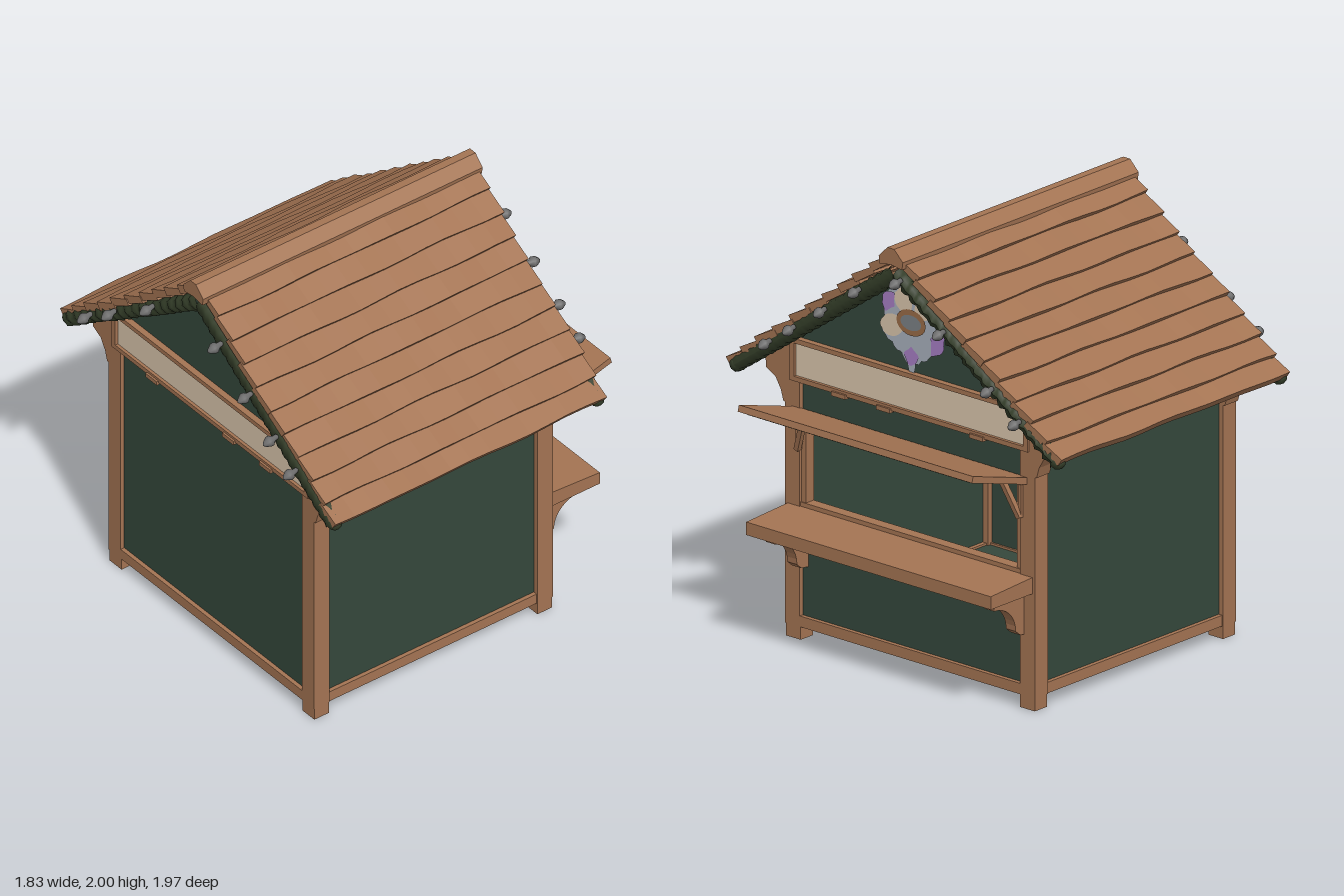
import * as THREE from 'three';

const paint = (name, color, side = THREE.FrontSide) => {
  const m = new THREE.MeshStandardMaterial({ color, side });
  m.name = name;
  return m;
};

export function createModel() {
  const root = new THREE.Group();
  root.name = 'marketStall';
  const wood = paint('wood', 0xa47453);
  const green = paint('greenPaint', 0x35483c);
  const leaf = paint('garlandGreen', 0x333d28);
  const bulbGrey = paint('bulbGrey', 0x6c6c6c);
  const cream = paint('cream', 0xdcc8ae, THREE.DoubleSide);
  const petalGrey = paint('petalGrey', 0xaab2be, THREE.DoubleSide);
  const purple = paint('purple', 0xa880c6, THREE.DoubleSide);
  const bark = paint('flowerBrown', 0x9a6c48, THREE.DoubleSide);
  const darkGrey = paint('flowerGrey', 0x7c8286, THREE.DoubleSide);

  const add = (name, geo, mat, parent = root) => {
    const m = new THREE.Mesh(geo, mat);
    m.name = name;
    parent.add(m);
    return m;
  };
  // Box given by its limits
  const box = (name, mat, x0, x1, y0, y1, z0, z1, parent) =>
    add(name, new THREE.BoxGeometry(x1 - x0, y1 - y0, z1 - z0)
      .translate((x0 + x1) / 2, (y0 + y1) / 2, (z0 + z1) / 2), mat, parent);
  // Prism along x from [z, y] points
  const prismGeo = (pts, x0, x1, steps = 1) =>
    new THREE.ExtrudeGeometry(new THREE.Shape(pts.map(p => new THREE.Vector2(...p))),
      { depth: x1 - x0, steps, bevelEnabled: false }).rotateY(-Math.PI / 2).translate(x1, 0, 0);
  const prism = (name, mat, pts, x0, x1) => add(name, prismGeo(pts, x0, x1), mat);
  // Extrusion along z from [x, y] points
  const profile = (name, mat, pts, z0, z1) =>
    add(name, new THREE.ExtrudeGeometry(new THREE.Shape(pts.map(p => new THREE.Vector2(...p))),
      { depth: z1 - z0, bevelEnabled: false }).translate(0, 0, z0), mat);

  // Base, posts, feet and lower beams
  box('floorUnderside', wood, -0.74, 0.53, 0.065, 0.09, -0.7, 0.7);
  box('floor', green, -0.72, 0.51, 0.09, 0.1, -0.69, 0.69);
  for (const s of [-1, 1]) {
    const z = (a, b) => s > 0 ? [a, b] : [-b, -a];
    for (const [x0, x1] of [[-0.76, -0.675], [0.465, 0.55]]) {
      box('post', wood, x0, x1, 0.06, 1.2, ...z(0.64, 0.725));
      box('foot', wood, x0 + 0.003, x1 - 0.003, 0, 0.06, ...z(0.637, 0.722));
      prism('eaveBracket', wood, [[0.69, 1.07], [0.735, 1.08], [0.75, 1.13], [0.78, 1.18],
        [0.835, 1.21], [0.84, 1.28], [0.69, 1.36]].map(p => [p[0] * s, p[1]]), x0, x1);
    }
    box('sideBeam', wood, -0.76, 0.55, 0.06, 0.11, ...z(0.65, 0.72));
    box('sideWall', green, -0.74, 0.53, 0.08, 1.37, ...z(0.67, 0.7));

    // Scalloped board under the eave
    const pts = [[-0.675, 1.36]];
    const cusps = [-0.675, -0.43, 0.05, 0.465];
    for (let i = 0; i < 3; i++) for (let k = 0; k <= 10; k++)
      pts.push([cusps[i] + (cusps[i + 1] - cusps[i]) * k / 10, 1.205 + 0.075 * Math.sin(Math.PI * k / 10) ** 0.6]);
    pts.push([0.465, 1.36]);
    profile('eaveValance', wood, pts, ...z(0.7, 0.735));
  }

  // End walls, with the serving opening on +x
  for (const [x0, x1, o] of [[0.49, 0.53, 1], [-0.74, -0.7, -1]]) {
    const face = o > 0 ? x1 : x0;
    const out = (a, b) => o > 0 ? [face + a, face + b] : [face - b, face - a];
    prism('gable', green, [[-0.72, 1.17], [0.72, 1.17], [0.72, 1.37], [0, 1.89], [-0.72, 1.37]], x0, x1);
    box('endBeam', wood, ...out(-0.05, 0.02), 0.06, 0.11, -0.7, 0.7);
    // Sign with frame
    box('signPanel', cream, ...out(0, 0.015), 1.21, 1.365, -0.665, 0.665);
    for (const y of [1.19, 1.365]) box('signRail', wood, ...out(0, 0.03), y, y + 0.022, -0.69, 0.69);
    for (const z of [-0.69, 0.665]) box('signStile', wood, ...out(0, 0.03), 1.19, 1.385, z, z + 0.025);
    for (const z of [-0.44, 0.1, 0.36]) box('signBlock', wood, ...out(0, 0.04), 1.18, 1.2, z, z + 0.08);
  }
  box('backWall', green, -0.74, -0.7, 0.08, 1.18, -0.68, 0.68);
  box('frontWall', green, 0.49, 0.53, 0.08, 0.58, -0.68, 0.68);
  box('windowHeader', green, 0.49, 0.53, 1.05, 1.18, -0.68, 0.68);
  box('ceiling', green, -0.71, 0.5, 1.19, 1.21, -0.68, 0.68);
  box('windowTopRail', wood, 0.49, 0.545, 1.035, 1.06, -0.65, 0.65);
  box('windowSill', wood, 0.49, 0.545, 0.6, 0.635, -0.65, 0.65);
  for (const s of [-1, 1]) box('windowJamb', wood, 0.49, 0.54, 0.6, 1.06, s * 0.63 - 0.018, s * 0.63 + 0.018);
  for (const y of [0.63, 0.78, 0.92]) box('shelf', wood, -0.7, -0.5, y - 0.008, y + 0.014, -0.67, 0.67);

  // Counter and curved brackets
  profile('counter', wood, [[0.49, 0.54], [0.82, 0.54], [0.82, 0.6], [0.55, 0.615], [0.49, 0.615]], -0.71, 0.71);
  for (const s of [-1, 1]) {
    const arc = [[0.53, 0.54], [0.53, 0.34], [0.575, 0.345]];
    for (let k = 0; k <= 8; k++) {
      const a = k / 8 * Math.PI / 2;
      arc.push([0.745 - 0.14 * Math.cos(a), 0.37 + 0.13 * Math.sin(a)]);
    }
    arc.push([0.75, 0.54]);
    profile('counterBracket', wood, arc, s * 0.635 - 0.028, s * 0.635 + 0.028);
  }

  // Raised hatch with green underside, and its struts
  const hatch = new THREE.Group();
  hatch.name = 'hatch';
  hatch.position.set(0.54, 1.05, 0);
  hatch.rotation.z = 0.28;
  root.add(hatch);
  box('hatchBoard', wood, 0, 0.38, -0.015, 0.015, -0.68, 0.68, hatch);
  box('hatchPanel', green, 0.025, 0.352, -0.021, -0.014, -0.645, 0.645, hatch);
  const rod = (name, a, b, r) => {
    const A = new THREE.Vector3(...a), B = new THREE.Vector3(...b);
    const m = add(name, new THREE.BoxGeometry(r, A.distanceTo(B), r), wood);
    m.position.copy(A).lerp(B, 0.5);
    m.quaternion.setFromUnitVectors(new THREE.Vector3(0, 1, 0), B.sub(A).normalize());
  };
  for (const s of [-1, 1]) {
    rod('hatchStrut', [0.56, 0.88, s * 0.645], [0.6, 1.06, s * 0.57], 0.024);
    rod('hatchStrutFoot', [0.55, 0.88, s * 0.645], [0.55, 1.03, s * 0.645], 0.02);
  }

  // Roof: ten overlapping planks on each slope
  for (const s of [-1, 1]) for (let i = 0; i < 10; i++) {
    const at = (t, d) => [s * (0.03 + 0.94 * t + d * 0.6), 1.95 - 0.71 * t + d * 0.8];
    const t0 = i / 10, t1 = Math.min(1, t0 + 0.112);
    const jitter = 0.006 * Math.sin(i * 7.3 + s);
    const geo = prismGeo([at(t0, -0.035), at(t1, -0.022), at(t1, 0.018), at(t0, -0.004)],
      -0.835 + jitter, 0.655 + jitter, 14);
    const p = geo.attributes.position;
    for (let k = 0; k < p.count; k++) {
      const x = p.getX(k);
      p.setZ(k, p.getZ(k) + s * 0.004 * Math.sin(x * 9 + i * 2.1));
      p.setY(k, p.getY(k) + 0.003 * Math.sin(x * 13 + i * 3.7));
    }
    geo.computeVertexNormals();
    add('roofPlank', geo, wood);
  }
  prism('ridgeCap', wood, [[0, 1.92], [0.065, 1.91], [0.07, 1.945], [0.02, 1.995], [-0.02, 1.995],
    [-0.07, 1.945], [-0.065, 1.91]], -0.86, 0.675);

  // Garlands along the gable edges, with bulbs
  const bulbGeo = new THREE.LatheGeometry([[0, -0.045], [0.012, -0.035], [0.013, -0.018], [0.025, -0.002],
    [0.024, 0.012], [0.012, 0.032], [0, 0.042]].map(p => new THREE.Vector2(...p)), 10).rotateZ(-Math.PI / 2);
  for (const [x, o, zs] of [[0.63, 1, [-0.74, -0.58, -0.3, -0.05, 0.19, 0.39, 0.57, 0.71]],
    [-0.81, -1, [-0.74, -0.57, -0.3, 0.18, 0.39, 0.57, 0.71]]]) {
    for (const s of [-1, 1]) {
      const line = new THREE.LineCurve3(new THREE.Vector3(x, 1.87, 0), new THREE.Vector3(x, 1.225, s * 0.93));
      const geo = new THREE.TubeGeometry(line, 60, 0.036, 8);
      const p = geo.attributes.position, n = geo.attributes.normal;
      for (let k = 0; k < p.count; k++) {
        const d = 0.006 * Math.sin(p.getZ(k) * 61 + p.getY(k) * 90) + 0.003 * Math.sin(p.getY(k) * 210);
        p.setXYZ(k, p.getX(k) + n.getX(k) * d, p.getY(k) + n.getY(k) * d, p.getZ(k) + n.getZ(k) * d);
      }
      geo.computeVertexNormals();
      add('garland', geo, leaf);
      add('garlandEnd', new THREE.IcosahedronGeometry(0.036, 1), leaf).position.set(x, 1.225, s * 0.93);
    }
    for (const z of zs) {
      const b = add('bulb', bulbGeo, bulbGrey);
      b.position.set(x + o * 0.07, 1.885 - 0.7 * Math.abs(z), z);
      b.rotation.set(0, o > 0 ? 0 : Math.PI, -0.2);
    }
  }

  // Painted flower on the serving gable
  const flower = new THREE.Group();
  flower.name = 'flower';
  flower.position.set(0.533, 1.615, 0);
  flower.rotation.y = Math.PI / 2;
  root.add(flower);
  const petal = (mat, deg, len, w, layer, from = 0.03) => {
    const sh = new THREE.Shape();
    sh.moveTo(from, 0);
    sh.bezierCurveTo(from + len * 0.2, w * 0.5, len * 0.65, w * 0.85, len * 0.93, w * 0.35);
    sh.quadraticCurveTo(len * 0.95, w * 0.1, len, 0);
    sh.quadraticCurveTo(len * 1.0, -w * 0.3, len * 0.9, -w * 0.4);
    sh.bezierCurveTo(len * 0.65, -w * 0.85, from + len * 0.2, -w * 0.5, from, 0);
    const m = add('petal', new THREE.ShapeGeometry(sh, 8), mat, flower);
    m.rotation.z = deg * Math.PI / 180;
    m.position.z = layer * 0.002;
  };
  [[90, 0.19], [55, 0.17], [130, 0.19], [165, 0.17], [205, 0.19], [240, 0.17], [270, 0.2], [300, 0.18],
    [335, 0.2], [15, 0.16]].forEach(([a, l], i) => petal(petalGrey, a, l, 0.11, 1 + (i % 2)));
  [[198, 0.19], [48, 0.165], [118, 0.16]].forEach(([a, l]) => petal(cream, a, l, 0.085, 3));
  petal(purple, 152, 0.19, 0.09, 4, 0.11);
  petal(purple, 338, 0.205, 0.12, 4, 0.12);
  petal(purple, 270, 0.2, 0.07, 4, 0.11);
  petal(petalGrey, 270, 0.25, 0.04, 3, 0.15);
  [[bark, 0.085, 0.06, 5], [darkGrey, 0.06, 0.035, 6]].forEach(([mat, a, b, layer]) => {
    const m = add('flowerCentre', new THREE.CircleGeometry(1, 20), mat, flower);
    m.scale.set(a, b, 1);
    m.position.z = layer * 0.002;
  });
  return root;
}
